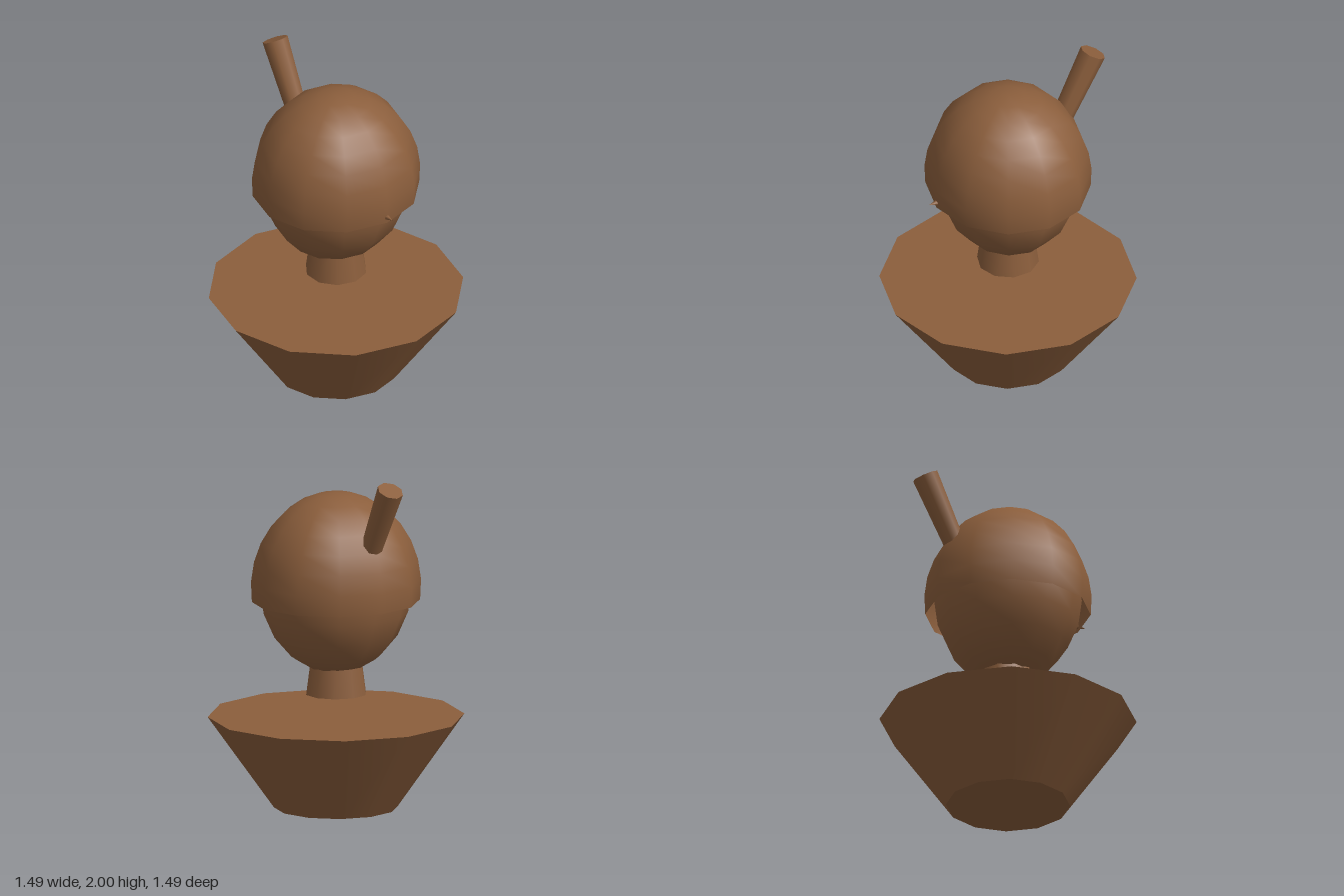
import * as THREE from 'three';

export function createModel() {
  const model = new THREE.Group();
  const brown = new THREE.MeshStandardMaterial({ color: 0x8b5e3c });
  brown.name = 'brown';
  const brownShell = new THREE.MeshStandardMaterial({ color: 0x8b5e3c, side: THREE.DoubleSide });
  brownShell.name = 'brown shell';

  const add = (name, geometry, x, y, z, material = brown) => {
    const mesh = new THREE.Mesh(geometry, material);
    mesh.name = name;
    mesh.position.set(x, y, z);
    model.add(mesh);
    return mesh;
  };

  // Flared pedestal, wide at the top
  add('base', new THREE.CylinderGeometry(0.745, 0.36, 0.54, 12), 0, 0.27, 0);

  // Tapered neck, floating above the base and sunk into the head
  add('neck', new THREE.CylinderGeometry(0.14, 0.18, 0.3, 10), 0, 0.82, 0);

  // Head, with an open cap shell sharing its centre
  const centreY = 1.305;
  add('head', new THREE.SphereGeometry(1, 12, 10), 0, centreY, 0).scale.set(0.45, 0.51, 0.42);
  const cap = new THREE.SphereGeometry(1, 12, 8, 0, Math.PI * 2, 0, Math.PI * 0.55);
  add('cap', cap, 0, centreY, 0, brownShell).scale.set(0.5, 0.555, 0.48);

  // Stem leaning back from the cap
  const tilt = -0.48, length = 0.5;
  const stem = new THREE.CylinderGeometry(0.077, 0.06, length, 8);
  stem.translate(0, -length / 2, 0);
  add('stem', stem, 0, 1.964, -0.563).rotation.x = tilt;

  // Tiny nose point at the front of the cap
  const nose = new THREE.ConeGeometry(0.018, 0.064, 8);
  nose.rotateX(Math.PI / 2);
  add('nose', nose, 0, 1.255, 0.492);

  return model;
}
